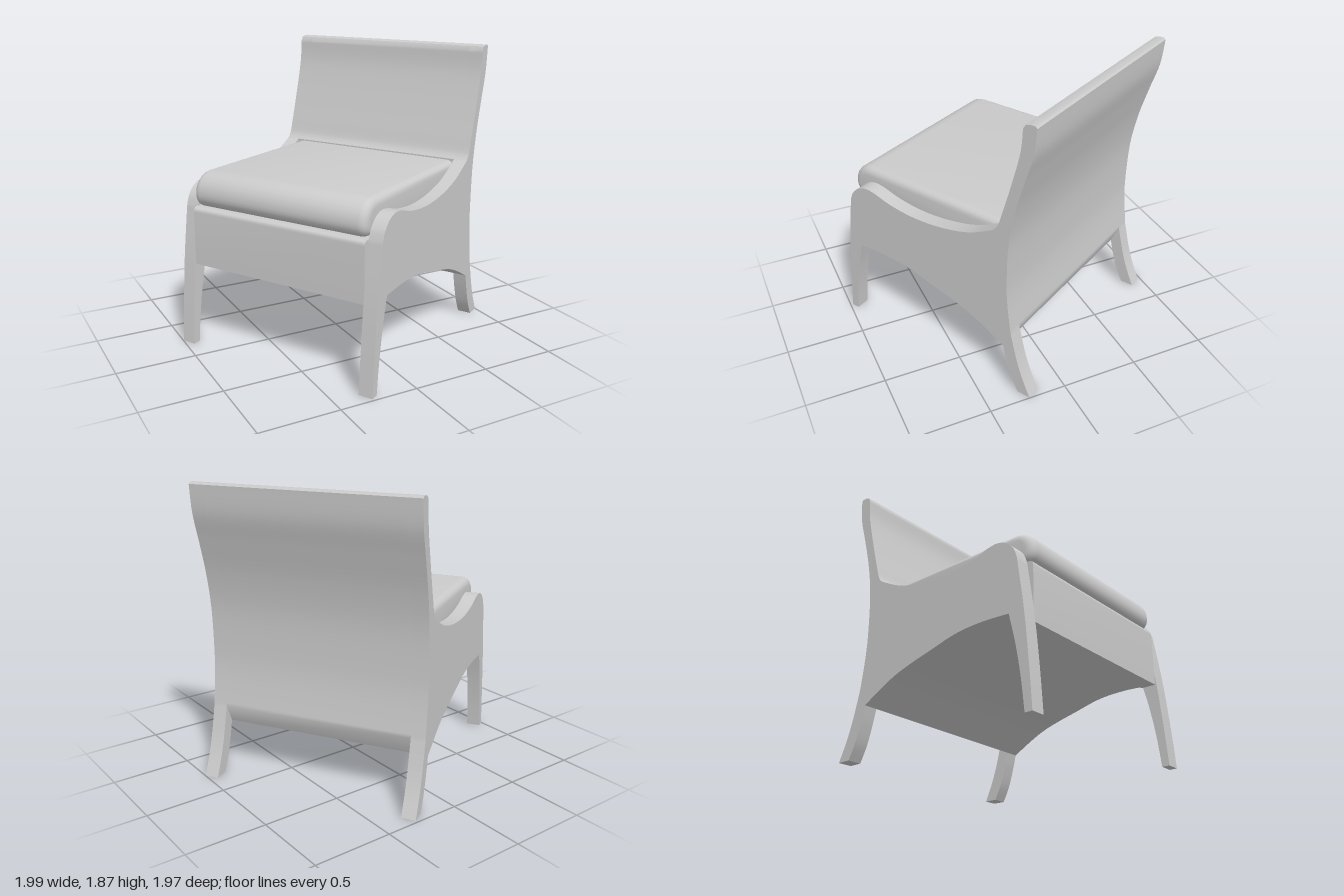
import * as THREE from 'three';
import { toCreasedNormals } from 'three/addons/utils/BufferGeometryUtils.js';

const W = 0.707;      // half width of the chair
const T = 0.09;       // thickness of a side panel
const IN = W - T;     // half width between the panels

const pts = (list) => list.map(([x, y]) => new THREE.Vector2(x, y));

// Profile curves: x runs towards the back, y is up
const backUp = [[0.598, 0.44], [0.573, 0.65], [0.567, 0.82], [0.578, 1.08], [0.617, 1.305],
  [0.677, 1.52], [0.727, 1.69], [0.745, 1.855]];
const backTop = [[0.735, 1.866], [0.705, 1.866], [0.675, 1.858], [0.66, 1.83]];
const backFront = [[0.645, 1.68], [0.583, 1.44], [0.536, 1.28], [0.505, 1.18], [0.475, 1.139]];
const arch = [[-0.4, 0.588], [-0.21, 0.577], [-0.027, 0.535], [0.284, 0.45], [0.543, 0.32]];

function backrest(s) {
  s.splineThru(pts(backUp.slice(1)));
  backTop.forEach(([x, y]) => s.lineTo(x, y));
  s.splineThru(pts(backFront));
}

// Side panel with front leg, arm, back leg and edge of the backrest
function sideShape() {
  const s = new THREE.Shape();
  s.moveTo(0.654, 0);
  s.lineTo(0.742, 0);
  s.splineThru(pts([[0.685, 0.13], [0.642, 0.26], [0.598, 0.44]]));
  backrest(s);
  s.splineThru(pts([[0.3, 1.05], [0.1, 1.0], [-0.112, 0.983], [-0.3, 1.002], [-0.43, 1.037],
    [-0.507, 1.043], [-0.57, 1.02], [-0.62, 0.97], [-0.645, 0.91]]));
  s.splineThru(pts([[-0.69, 0.6], [-0.72, 0.3], [-0.742, 0]]));
  s.lineTo(-0.692, 0);
  s.splineThru(pts([[-0.668, 0.2], [-0.632, 0.4], [-0.588, 0.578]]));
  s.splineThru(pts(arch));
  s.splineThru(pts([[0.567, 0.22], [0.605, 0.1], [0.654, 0]]));
  return s;
}

// Back and seat base between the panels
function middleShape() {
  const s = new THREE.Shape();
  s.moveTo(0.543, 0.32);
  s.lineTo(0.598, 0.44);
  backrest(s);
  s.lineTo(0.475, 0.912);
  s.lineTo(-0.655, 0.912);
  s.quadraticCurveTo(-0.688, 0.912, -0.688, 0.88);
  s.lineTo(-0.688, 0.535);
  s.lineTo(-0.588, 0.535);
  s.lineTo(-0.588, 0.578);
  s.splineThru(pts(arch));
  return s;
}

// Cushion profile with a bullnose front, drawn inset by the bevel b
function cushionShape(b) {
  const x0 = -0.688 + b, x1 = 0.485 - b, y0 = 0.912 + b, y1 = 1.13 - b;
  const s = new THREE.Shape();
  s.moveTo(x1, y0);
  s.lineTo(x1, y1);
  s.lineTo(x0 + 0.09, y1);
  s.bezierCurveTo(x0 + 0.035, y1, x0, y1 - 0.04, x0, y1 - 0.085);
  s.quadraticCurveTo(x0, y0, x0 + 0.03, y0);
  s.lineTo(x1, y0);
  return s;
}

function extruded(name, shape, depth, z, bevel = 0) {
  const geo = new THREE.ExtrudeGeometry(shape, {
    depth: depth - 2 * bevel, curveSegments: 6, steps: 1,
    bevelEnabled: bevel > 0, bevelSize: bevel, bevelThickness: bevel, bevelSegments: 5,
  });
  geo.translate(0, 0, z + bevel);
  const mesh = new THREE.Mesh(toCreasedNormals(geo, 0.6),
    new THREE.MeshStandardMaterial({ color: 0xcccccc }));
  mesh.name = name;
  return mesh;
}

export function createModel() {
  const chair = new THREE.Group();
  chair.name = 'chair';
  chair.add(
    extruded('leftSidePanel', sideShape(), T, IN),
    extruded('rightSidePanel', sideShape(), T, -W),
    extruded('backAndSeatBase', middleShape(), 2 * IN, -IN),
    extruded('seatCushion', cushionShape(0.05), 2 * IN, -IN, 0.05),
  );
  // The chair stands turned by 30 degrees
  chair.rotation.y = Math.PI / 6;
  const model = new THREE.Group();
  model.name = 'sideChair';
  model.add(chair);
  return model;
}
